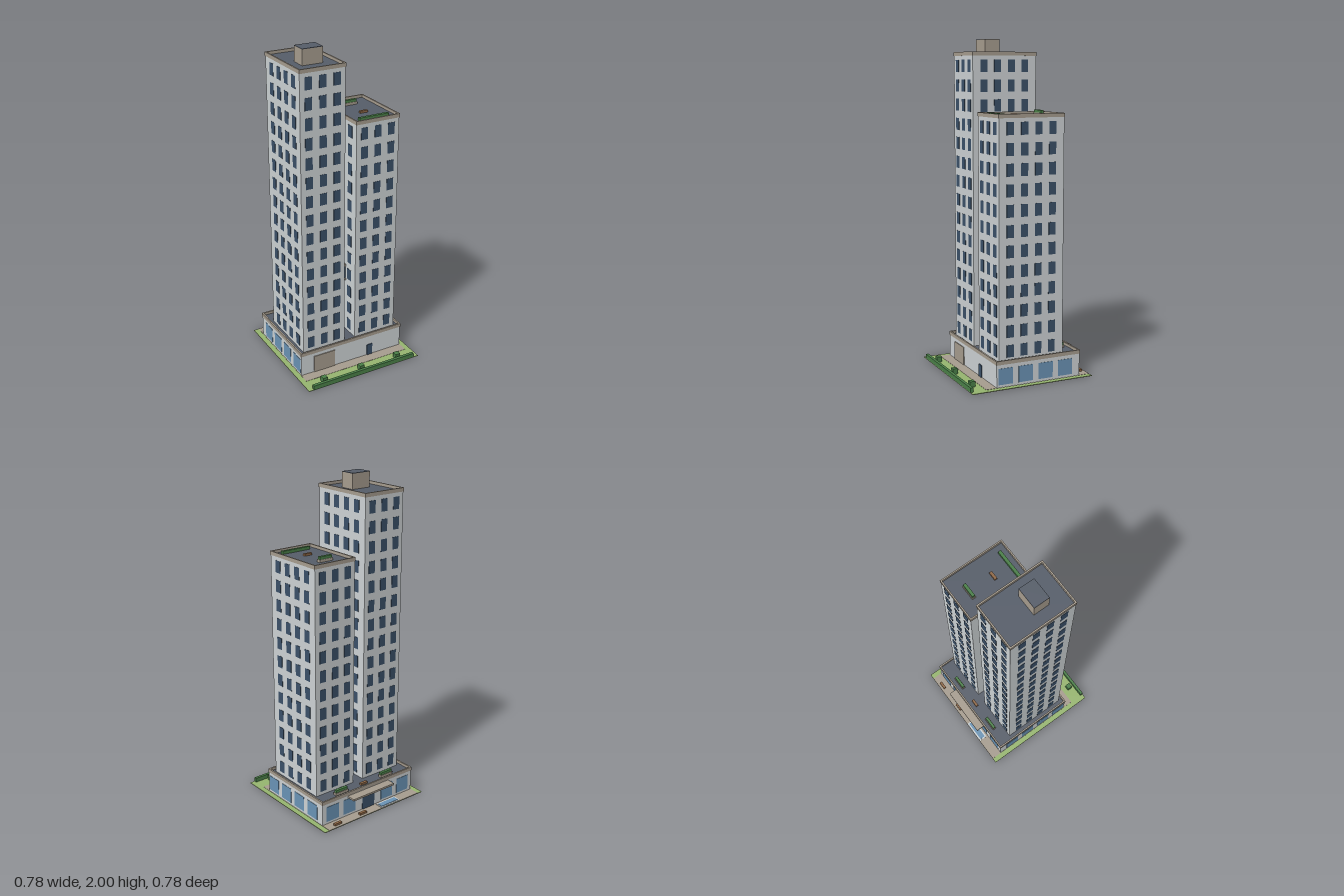
import * as THREE from 'three';
import { mergeGeometries } from 'three/addons/utils/BufferGeometryUtils.js';

const mat = (color) => new THREE.MeshStandardMaterial({ color });
const M = {
  wall: mat(0xcdd2d4), stone: mat(0xa69c8e), roof: mat(0x565d69), window: mat(0x3a5068),
  glass: mat(0x6a93b5), leaf: mat(0x4a7f48), lawn: mat(0x96b56f), wood: mat(0x8f6846),
};

// Box given by its extents on each axis
function boxGeo(x0, x1, y0, y1, z0, z1) {
  const g = new THREE.BoxGeometry(x1 - x0, y1 - y0, z1 - z0);
  return g.translate((x0 + x1) / 2, (y0 + y1) / 2, (z0 + z1) / 2);
}

function add(parent, name, material, geometry) {
  const mesh = new THREE.Mesh(geometry, material);
  mesh.name = name;
  parent.add(mesh);
  return mesh;
}

const box = (parent, name, material, ...e) => add(parent, name, material, boxGeo(...e));

// Rectangular rim with an open middle
function rimGeo(x0, x1, y0, y1, z0, z1, t) {
  const rect = (P, a, b, c, d) => new P([[a, c], [b, c], [b, d], [a, d]].map((p) => new THREE.Vector2(...p)));
  const shape = rect(THREE.Shape, x0, x1, -z1, -z0);
  shape.holes.push(rect(THREE.Path, x0 + t, x1 - t, -z1 + t, -z0 - t));
  const g = new THREE.ExtrudeGeometry(shape, { depth: y1 - y0, bevelEnabled: false });
  return g.rotateX(-Math.PI / 2).translate(0, y0, 0);
}

// Tower with a window grid on all four faces
function makeTower(name, cx, floors, top) {
  const tower = new THREE.Group();
  tower.name = name;
  const hw = 0.143, z0 = -0.223, z1 = 0.193;
  box(tower, 'towerWalls', M.wall, cx - hw, cx + hw, 0.145, top - 0.022, z0, z1);
  box(tower, 'roofDeck', M.roof, cx - hw, cx + hw, top - 0.022, top - 0.018, z0, z1);
  add(tower, 'parapet', M.stone, rimGeo(cx - hw - 0.003, cx + hw + 0.003, top - 0.023, top, z0 - 0.003, z1 + 0.003, 0.009));
  const panes = [];
  const w = 0.0225, h = 0.0365, d = 0.0015;
  for (let f = 0; f < floors; f++) {
    const y = 0.203 + f * 0.117;
    for (const dx of [-0.09, 0, 0.09])
      for (const z of [z0, z1])
        panes.push(boxGeo(cx + dx - w, cx + dx + w, y - h, y + h, z - d, z + d));
    for (const z of [-0.148, -0.058, 0.032, 0.122])
      for (const x of [cx - hw, cx + hw])
        panes.push(boxGeo(x - d, x + d, y - h, y + h, z - w, z + w));
  }
  add(tower, 'windows', M.window, mergeGeometries(panes));
  return tower;
}

function planter(parent, cx, y, cz) {
  const g = new THREE.Group();
  g.name = 'planter';
  box(g, 'planterTrough', M.stone, cx - 0.047, cx + 0.047, y, y + 0.016, cz - 0.012, cz + 0.012);
  box(g, 'planterShrub', M.leaf, cx - 0.044, cx + 0.044, y + 0.016, y + 0.032, cz - 0.009, cz + 0.009);
  parent.add(g);
}

function bench(parent, cx, y, cz) {
  box(parent, 'bench', M.wood, cx - 0.026, cx + 0.026, y, y + 0.013, cz - 0.0085, cz + 0.0085);
}

function makeSite() {
  const site = new THREE.Group();
  site.name = 'site';
  box(site, 'groundSlab', M.stone, -0.39, 0.39, 0, 0.002, -0.39, 0.388);
  box(site, 'lawn', M.lawn, -0.39, 0.39, 0.002, 0.004, -0.39, 0.388);
  box(site, 'paving', M.stone, -0.357, 0.357, 0.003, 0.0055, -0.39, 0.29);
  box(site, 'frontHedge', M.leaf, -0.357, 0.357, 0, 0.031, 0.37, 0.388);
  for (const x of [-0.26, 0, 0.26])
    box(site, 'bush', M.leaf, x - 0.016, x + 0.016, 0.004, 0.037, 0.323, 0.355);
  // Shallow pool beside the entrance
  box(site, 'poolBorder', M.wall, -0.205, -0.055, 0.004, 0.009, -0.388, -0.334);
  box(site, 'poolWater', M.glass, -0.197, -0.063, 0.008, 0.011, -0.378, -0.343);
  bench(site, 0.275, 0.0055, -0.365);
  bench(site, 0.08, 0.0055, -0.365);
  return site;
}

function makePodium() {
  const podium = new THREE.Group();
  podium.name = 'podium';
  const hw = 0.355, z0 = -0.322, z1 = 0.223, d = 0.002;
  box(podium, 'podiumWalls', M.wall, -hw, hw, 0.004, 0.14, z0, z1);
  box(podium, 'podiumDeck', M.roof, -hw, hw, 0.14, 0.145, z0, z1);
  add(podium, 'podiumParapet', M.stone, rimGeo(-hw - 0.003, hw + 0.003, 0.139, 0.162, z0 - 0.003, z1 + 0.003, 0.01));
  // Shop glazing on both sides and the back
  for (const x of [-hw, hw])
    for (const z of [-0.224, -0.094, 0.036, 0.166])
      box(podium, 'shopWindow', M.glass, x - d, x + d, 0.02, 0.117, z - 0.047, z + 0.047);
  for (const x of [-0.28, -0.15, 0.15, 0.28])
    box(podium, 'shopWindow', M.glass, x - 0.047, x + 0.047, 0.02, 0.117, z0 - d, z0 + d);
  box(podium, 'entranceDoor', M.window, -0.047, 0.047, 0.005, 0.105, z0 - 0.004, z0);
  box(podium, 'entranceCanopy', M.stone, -0.162, 0.161, 0.123, 0.135, -0.377, z0);
  box(podium, 'garageDoor', M.stone, -0.267, -0.122, 0.005, 0.117, z1, z1 + 0.005);
  box(podium, 'serviceDoor', M.window, 0.11, 0.148, 0.005, 0.08, z1, z1 + 0.005);
  for (const x of [-0.179, 0.179]) planter(podium, x, 0.145, -0.278);
  bench(podium, 0, 0.145, -0.278);
  return podium;
}

function makeBridge() {
  const bridge = new THREE.Group();
  bridge.name = 'skyBridge';
  box(bridge, 'bridgeFloor', M.stone, -0.037, 0.037, 0.497, 0.512, -0.115, 0.08);
  box(bridge, 'bridgeGlazing', M.window, -0.037, 0.037, 0.512, 0.592, -0.112, 0.077);
  box(bridge, 'bridgeRoof', M.stone, -0.037, 0.037, 0.592, 0.61, -0.115, 0.08);
  return bridge;
}

export function createModel() {
  const model = new THREE.Group();
  model.name = 'twinTowerBuilding';
  model.add(makeSite(), makePodium(), makeBridge());

  // Tall tower with a rooftop plant room
  const tall = makeTower('tallTower', -0.18, 15, 1.924);
  box(tall, 'plantRoom', M.stone, -0.245, -0.115, 1.905, 1.997, -0.018, 0.079);
  box(tall, 'plantRoomRoof', M.roof, -0.245, -0.115, 1.997, 2, -0.018, 0.079);

  // Short tower with a roof garden
  const short = makeTower('shortTower', 0.18, 12, 1.572);
  planter(short, 0.179, 1.554, -0.132);
  bench(short, 0.178, 1.554, 0.031);
  box(short, 'roofHedge', M.leaf, 0.08, 0.276, 1.554, 1.572, 0.135, 0.154);
  model.add(tall, short);
  return model;
}
